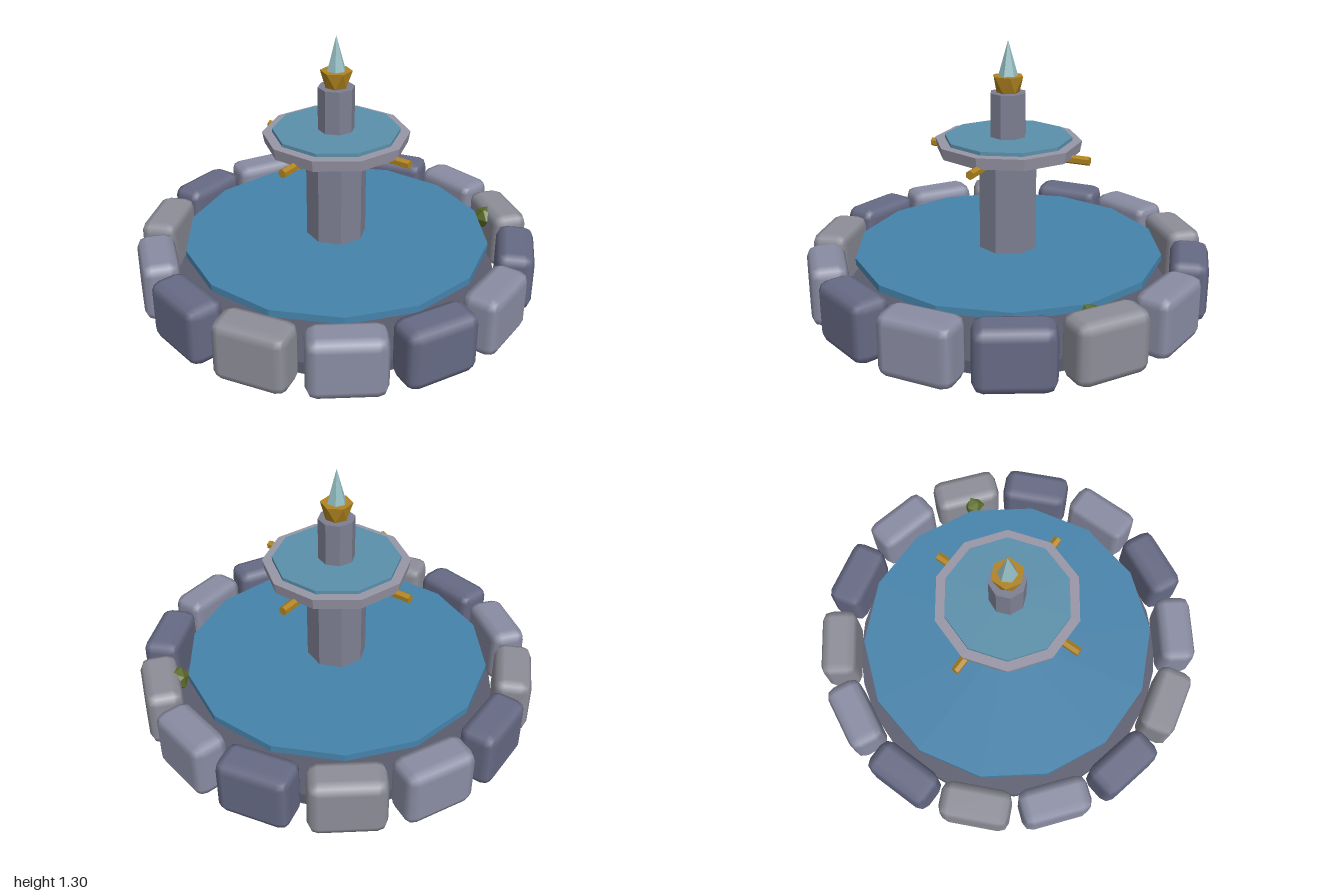
import * as THREE from 'three';
import { RoundedBoxGeometry } from 'three/addons/geometries/RoundedBoxGeometry.js';

const mat = (color, flatShading = true) => new THREE.MeshStandardMaterial({ color, flatShading });

export function createModel() {
  const group = new THREE.Group();
  const stone = mat(0x7d7f92), slab = mat(0x5a5c6e), rim = mat(0x9896a6), gold = mat(0xb08420);

  const add = (name, geometry, material, x = 0, y = 0, z = 0) => {
    const mesh = new THREE.Mesh(geometry, material);
    mesh.name = name;
    mesh.position.set(x, y, z);
    group.add(mesh);
    return mesh;
  };
  // Upright prism from y0 to y1
  const prism = (name, r, y0, y1, sides, material) =>
    add(name, new THREE.CylinderGeometry(r, r, y1 - y0, sides), material, 0, (y0 + y1) / 2);

  // Floor slab and the pool water above it
  prism('floorSlab', 0.815, 0, 0.06, 28, slab);
  prism('poolWater', 0.765, 0.235, 0.27, 14, mat(0x4683ab));

  // Ring of bevelled stones in three alternating tones
  const tones = [0x8a8da3, 0x666a84, 0x8e8e99].map((c) => mat(c, false));
  const block = new RoundedBoxGeometry(0.36, 0.3, 0.185, 1, 0.05);
  for (let i = 0; i < 14; i++) {
    const a = (i / 14) * Math.PI * 2;
    const s = add('rimStone', block, tones[i % 3], Math.sin(a) * 0.9, 0.15, Math.cos(a) * 0.9);
    s.rotation.y = a;
  }

  // Moss clump on the inner side of one stone
  add('moss', new THREE.IcosahedronGeometry(0.06, 0), mat(0x5c6b28), 0.625, 0.24, 0.53);

  // Central column, upper basin and its water
  prism('column', 0.15, 0.24, 0.75, 8, stone);
  const basin = [[0, 0.745], [0.29, 0.745], [0.35, 0.762], [0.36, 0.818], [0, 0.818]];
  add('upperBasin', new THREE.LatheGeometry(basin.map(([x, y]) => new THREE.Vector2(x, y)), 10), rim);
  prism('upperWater', 0.312, 0.8, 0.835, 10, mat(0x5b90ab));
  prism('upperPillar', 0.09, 0.82, 1.05, 8, stone);

  // Four spouts under the basin
  const spout = new THREE.CylinderGeometry(0.022, 0.022, 0.18, 6).rotateX(Math.PI / 2);
  for (let i = 0; i < 4; i++) {
    const a = (i * Math.PI) / 2;
    const s = add('spout', spout, gold, Math.sin(a) * 0.33, 0.755, Math.cos(a) * 0.33);
    s.rotation.y = a;
  }

  // Faceted crown: the top ring is turned half a side against the bottom ring
  const crown = new THREE.CylinderGeometry(0.078, 0.056, 0.08, 6);
  const p = crown.attributes.position, v = new THREE.Vector3(), up = new THREE.Vector3(0, 1, 0);
  for (let i = 0; i < p.count; i++) {
    v.fromBufferAttribute(p, i);
    if (v.y > 0) v.applyAxisAngle(up, -Math.PI / 6);
    p.setXYZ(i, v.x, v.y, v.z);
  }
  add('crown', crown, gold, 0, 1.09);

  // Crystal spire
  add('crystal', new THREE.ConeGeometry(0.056, 0.2, 6), mat(0x93bcc0), 0, 1.2);

  return group;
}
